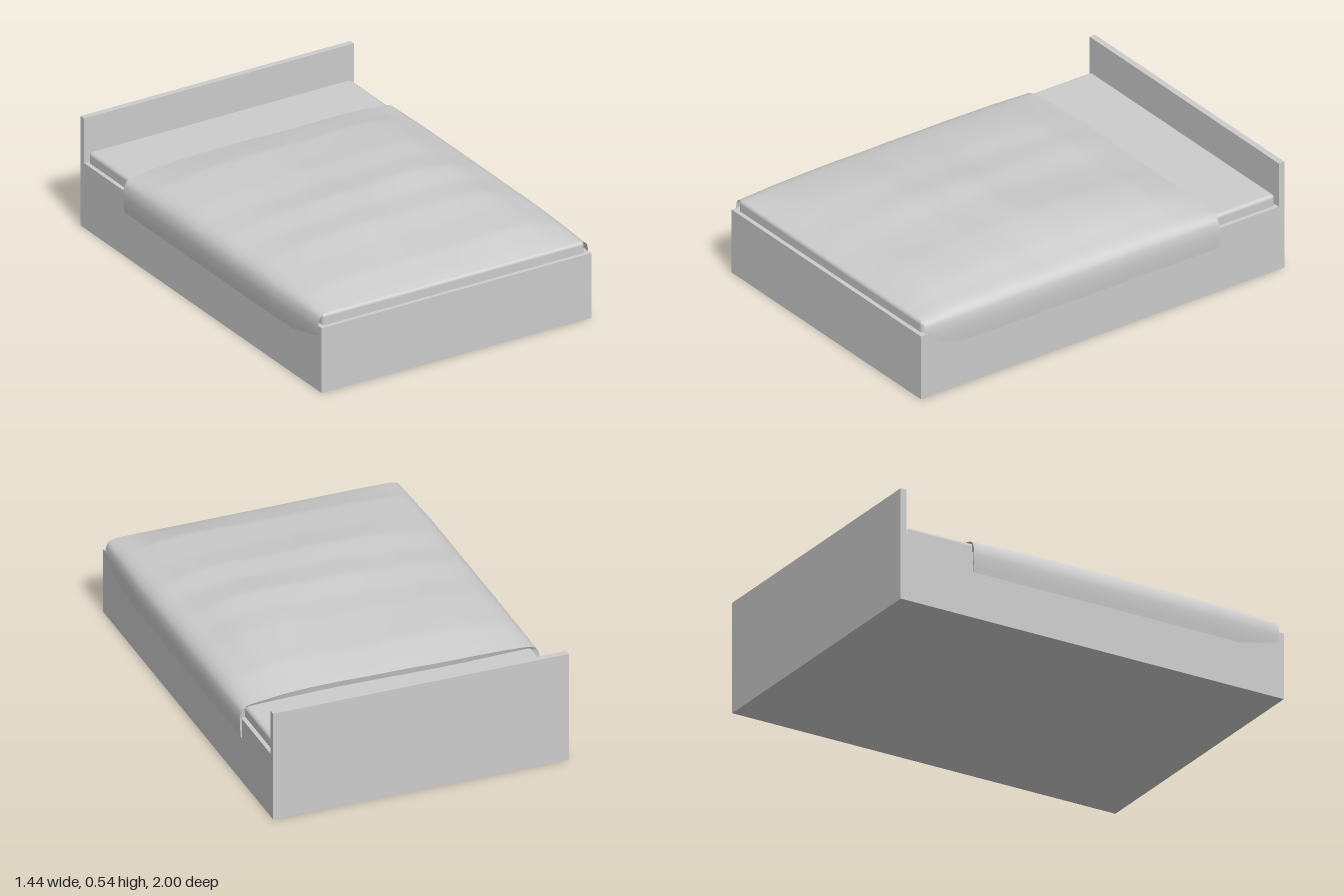
import * as THREE from 'three';
import { RoundedBoxGeometry } from 'three/addons/geometries/RoundedBoxGeometry.js';

// Piecewise linear lookup in a list of [position, value] pairs
function lookup(pairs, p) {
  for (let i = 1; i < pairs.length; i++) {
    const [p0, v0] = pairs[i - 1], [p1, v1] = pairs[i];
    if (p <= p1) return v0 + (v1 - v0) * Math.max(0, (p - p0) / (p1 - p0));
  }
  return pairs[pairs.length - 1][1];
}

// Cross-section of the cover: x, resting height, extra height where it puffs up
const SECTION = [
  [-0.713, 0.22, 0], [-0.72, 0.28, 0], [-0.72, 0.33, 0], [-0.707, 0.365, 0.005],
  [-0.675, 0.378, 0.024], [-0.6, 0.382, 0.045], [-0.4, 0.384, 0.073], [-0.25, 0.384, 0.078],
  [-0.1, 0.384, 0.09], [0.05, 0.384, 0.084], [0.2, 0.384, 0.091], [0.33, 0.384, 0.098],
  [0.5, 0.384, 0.08], [0.6, 0.382, 0.048], [0.675, 0.378, 0.022], [0.707, 0.362, 0.004],
  [0.717, 0.33, 0], [0.718, 0.28, 0], [0.714, 0.225, 0],
];
// Puffiness along the bed, from head to foot
const PUFF = [
  [-0.63, 0.24], [-0.55, 0.45], [-0.43, 0.74], [-0.15, 0.9], [0, 0.88],
  [0.15, 1], [0.3, 0.86], [0.45, 0.92], [0.6, 0.72], [0.8, 0.56], [0.94, 0.1], [0.975, -0.05],
];

function coverGeometry() {
  const geo = new THREE.PlaneGeometry(1, 1, 72, 64);
  const pos = geo.attributes.position;
  const p = new THREE.Vector3();
  for (let row = 0; row <= 64; row++) {
    const z = -0.63 + 1.605 * row / 64;
    const puff = lookup(PUFF, z);
    const curve = new THREE.CatmullRomCurve3(SECTION.map(([x, y, k]) => {
      // Soft creases running diagonally over the top
      const crease = 0.06 * Math.sin(5 * x + 6 * z) - 0.06;
      // Sides bulge slightly at mid length
      const bulge = 1 - 0.016 * Math.max(0, (z - 0.6) / 0.375);
      return new THREE.Vector3(x * bulge, y + k * (puff + crease * Math.max(0, puff)), z);
    }));
    for (let col = 0; col <= 72; col++) {
      curve.getPoint(col / 72, p);
      // Wavy hem at the head
      const hem = row === 0 ? 0.006 * Math.sin(p.x * 6) : 0;
      pos.setXYZ(row * 73 + col, p.x, p.y, p.z + hem);
    }
  }
  geo.computeVertexNormals();
  return geo;
}

// Short turned-down hem closing the head end of the cover onto the mattress
function hemGeometry(cover) {
  const src = cover.attributes.position;
  const geo = new THREE.PlaneGeometry(1, 1, 72, 1);
  const pos = geo.attributes.position;
  for (let col = 0; col <= 72; col++) {
    const x = src.getX(col), y = src.getY(col), z = src.getZ(col);
    const onTop = Math.abs(x) < 0.69;
    pos.setXYZ(col, x, y, z);
    pos.setXYZ(73 + col, onTop ? x : Math.sign(x) * 0.69, onTop ? 0.37 : Math.min(y, 0.37), z + 0.008);
  }
  geo.computeVertexNormals();
  return geo;
}

export function createModel() {
  const group = new THREE.Group();
  const grey = new THREE.MeshStandardMaterial({ color: 0xcccccc });
  const cloth = new THREE.MeshStandardMaterial({ color: 0xcccccc, side: THREE.DoubleSide });
  const add = (name, geo, mat, x = 0, y = 0, z = 0) => {
    const mesh = new THREE.Mesh(geo, mat);
    mesh.name = name;
    mesh.position.set(x, y, z);
    group.add(mesh);
  };

  // Solid bed base and upright headboard
  add('bedBase', new THREE.BoxGeometry(1.416, 0.32, 1.97), grey, 0, 0.16, 0.015);
  add('headboard', new THREE.BoxGeometry(1.416, 0.54, 0.03), grey, 0, 0.27, -0.985);

  // Mattress, sunk slightly into the base
  add('mattress', new RoundedBoxGeometry(1.376, 0.115, 1.945, 4, 0.018), grey, 0, 0.3175, 0.0065);

  // Puffy cover draped over the sides
  const cover = coverGeometry();
  add('cover', cover, cloth);
  add('coverHem', hemGeometry(cover), cloth);
  return group;
}
